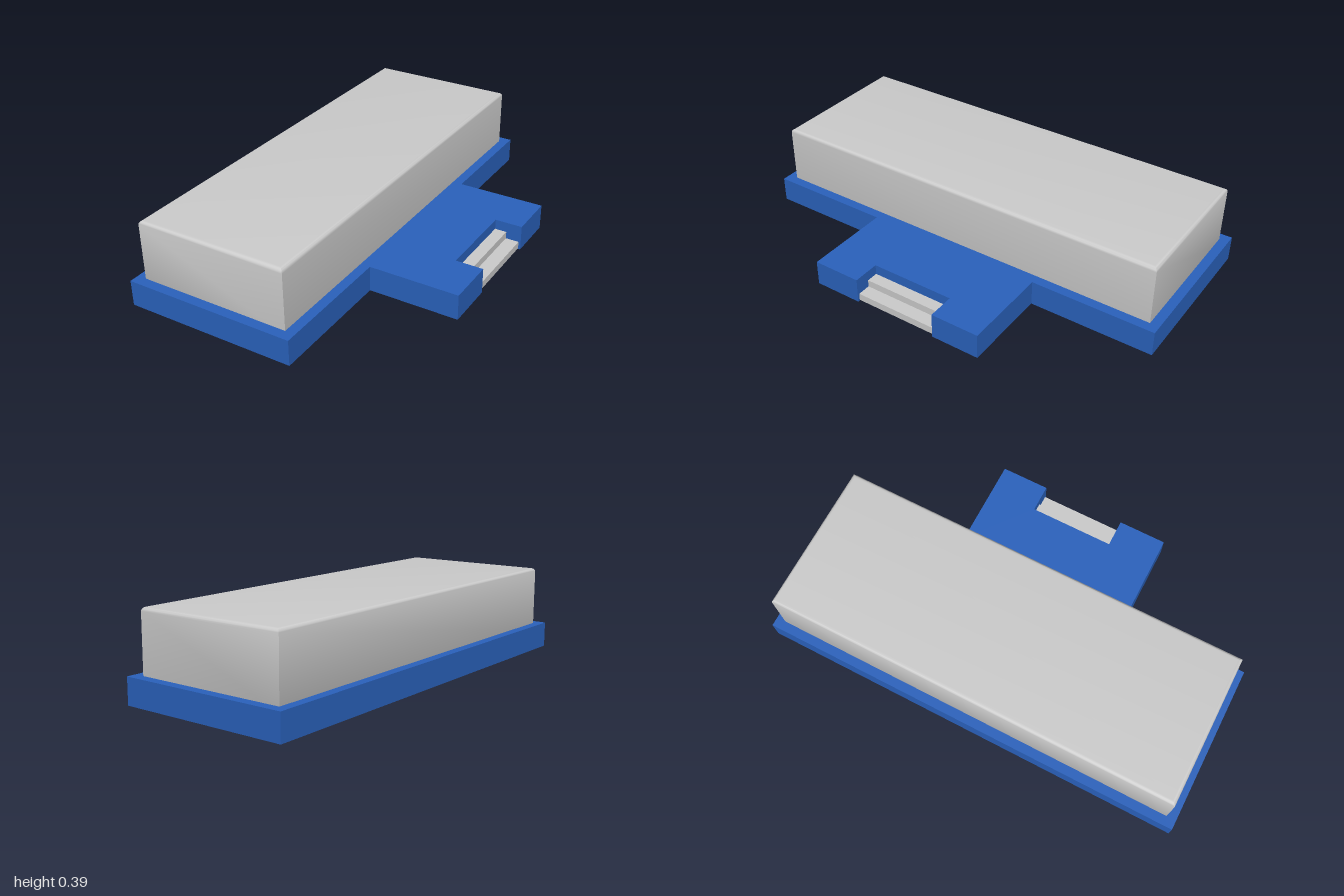
import * as THREE from 'three';
import { toCreasedNormals } from 'three/addons/utils/BufferGeometryUtils.js';

const grey = new THREE.MeshStandardMaterial({ color: 0xcccccc });
const blue = new THREE.MeshStandardMaterial({ color: 0x2a62bd });

// Extrude an [x, z] outline upwards from y = 0
function extrudeUp(outline, options) {
  const shape = new THREE.Shape(outline.map(([x, z]) => new THREE.Vector2(x, -z)));
  return new THREE.ExtrudeGeometry(shape, options).rotateX(-Math.PI / 2);
}

function addMesh(group, name, geometry, material) {
  const mesh = new THREE.Mesh(geometry, material);
  mesh.name = name;
  group.add(mesh);
  return mesh;
}

export function createModel() {
  const model = new THREE.Group();
  model.name = 'moduleWithConnectorTab';
  const baseHeight = 0.117;

  // Base plate with a side tab and a notch in the tab's outer edge
  const plate = extrudeUp([
    [-0.597, 1], [0.185, 1], [0.185, 0.415], [0.597, 0.415],
    [0.597, 0.19], [0.47, 0.19], [0.47, -0.205], [0.597, -0.205],
    [0.597, -0.43], [0.185, -0.43], [0.185, -1], [-0.597, -1],
  ], { depth: baseHeight, bevelEnabled: false });
  addMesh(model, 'basePlate', plate, blue);

  // Cover block with softly rounded top edges, its underside sunk into the plate
  const r = 0.018, bottom = 0.07, top = 0.39;
  const [x0, x1, z0, z1] = [-0.555 + r, 0.14 - r, -0.957 + r, 0.955 - r];
  const cover = extrudeUp([[x0, z1], [x1, z1], [x1, z0], [x0, z0]], {
    depth: top - bottom - 2 * r, bevelSize: r, bevelThickness: r, bevelSegments: 6,
  });
  addMesh(model, 'cover', toCreasedNormals(cover, 0.6), grey).position.y = bottom + r;

  // Stepped connector in the notch
  const steps = new THREE.Shape([
    [0.47, 0.004], [0.587, 0.004], [0.587, 0.037], [0.525, 0.037], [0.525, 0.07], [0.47, 0.07],
  ].map(([x, y]) => new THREE.Vector2(x, y)));
  const connector = new THREE.ExtrudeGeometry(steps, { depth: 0.395, bevelEnabled: false });
  addMesh(model, 'steppedConnector', connector, grey).position.z = -0.205;

  return model;
}
